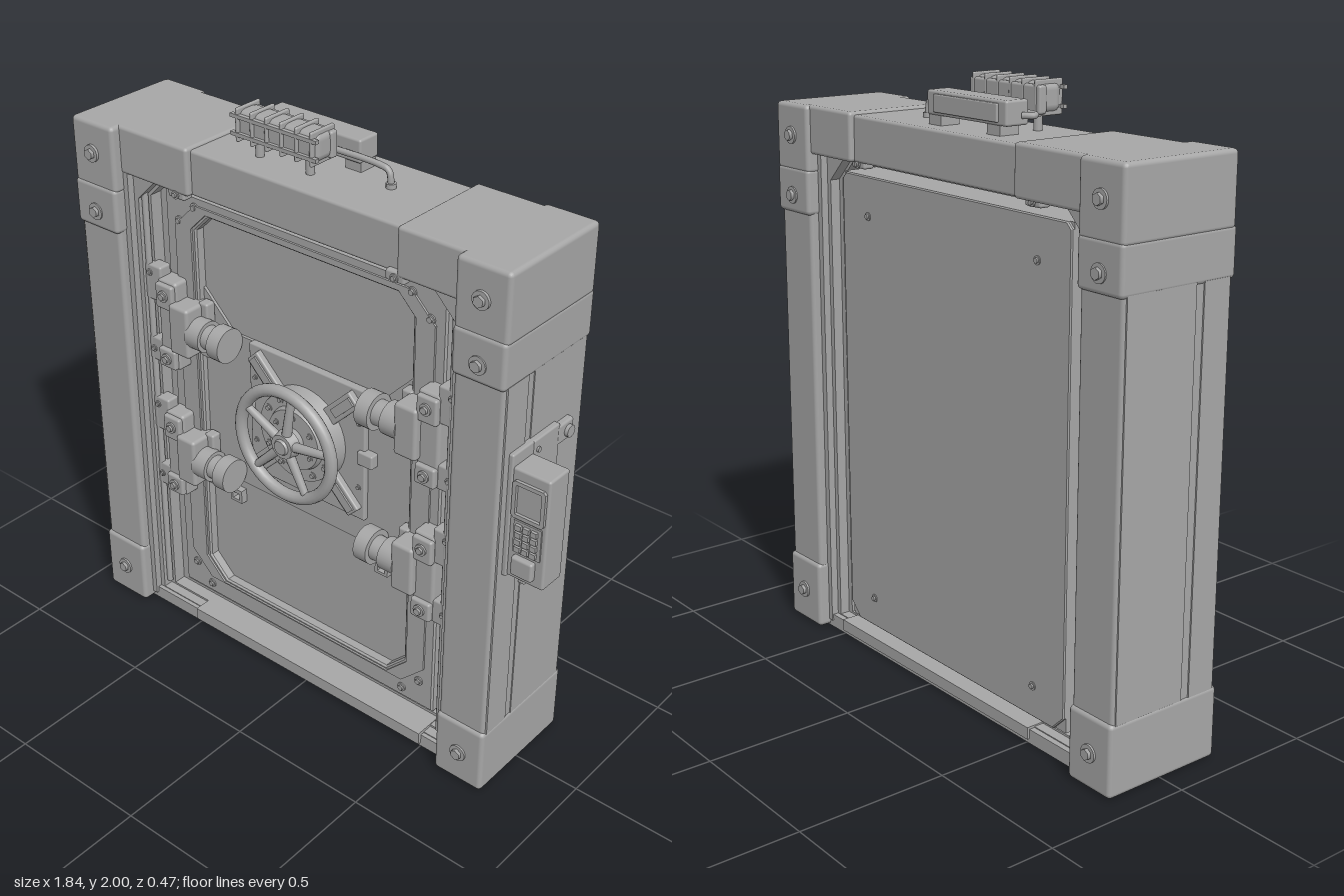
import * as THREE from 'three';
import { RoundedBoxGeometry } from 'three/addons/geometries/RoundedBoxGeometry.js';

const CX = -0.0725; // centre line of the frame

export function createModel() {
  const model = new THREE.Group();
  model.name = 'vaultDoor';
  const steel = new THREE.MeshStandardMaterial({ color: 0xa6a6a6 });
  steel.name = 'plain steel';

  const add = (name, geo, parent = model) => {
    const m = new THREE.Mesh(geo, steel);
    m.name = name;
    parent.add(m);
    return m;
  };
  // Box given by its limits; r > 0 rounds the edges
  const box = (name, x0, x1, y0, y1, z0, z1, r = 0, parent = model) => {
    const s = [x1 - x0, y1 - y0, z1 - z0];
    const geo = r ? new RoundedBoxGeometry(...s, 2, r) : new THREE.BoxGeometry(...s);
    const m = add(name, geo, parent);
    m.position.set((x0 + x1) / 2, (y0 + y1) / 2, (z0 + z1) / 2);
    return m;
  };
  // Cylinder along x, y or z
  const rod = (name, axis, x, y, z, r, len, sides = 24, parent = model, r2 = r) => {
    const geo = new THREE.CylinderGeometry(r2, r, len, sides);
    if (axis === 'z') geo.rotateX(Math.PI / 2);
    if (axis === 'x') geo.rotateZ(-Math.PI / 2);
    const m = add(name, geo, parent);
    m.position.set(x, y, z);
    return m;
  };
  // Rectangle outline with cut bottom and top corners
  const outline = (x0, x1, y0, y1, cb = 0, ct = cb) => [
    [x0 + cb, y0], [x1 - cb, y0], [x1, y0 + cb], [x1, y1 - ct],
    [x1 - ct, y1], [x0 + ct, y1], [x0, y1 - ct], [x0, y0 + cb],
  ].map(p => new THREE.Vector2(...p));
  const plate = (name, pts, z0, z1, hole, bevel = 0) => {
    const shape = new THREE.Shape(pts);
    if (hole) shape.holes.push(new THREE.Path(hole));
    const m = add(name, new THREE.ExtrudeGeometry(shape, {
      depth: z1 - z0 - bevel, bevelEnabled: bevel > 0, bevelSize: bevel,
      bevelOffset: -bevel, bevelThickness: bevel, bevelSegments: 1,
    }));
    m.position.z = z0;
    return m;
  };
  const bolt = (x, y, z, r, side = 1, parent = model) => {
    rod('boltWasher', 'z', x, y, z + side * r * 0.15, r, r * 0.3, 20, parent);
    rod('boltHead', 'z', x, y, z + side * r * 0.4, r * 0.62, r * 0.6, 6, parent);
  };
  const sides = [-1, 1];
  // Limits of a part measured from the centre line, on either side
  const span = (s, a, b) => (s < 0 ? [CX - b, CX - a] : [CX + a, CX + b]);

  // Outer frame: posts, corner blocks and beams
  for (const s of sides) {
    box('post', ...span(s, 0.667, 0.843), 0.2, 1.55, -0.205, 0.205, 0.015);
    box('postInnerStep', ...span(s, 0.645, 0.68), 0.03, 1.72, -0.175, 0.175);
    box('topCornerBlock', ...span(s, 0.664, 0.8475), 1.63, 1.855, -0.215, 0.212, 0.015);
    box('cornerStrap', ...span(s, 0.664, 0.8475), 1.49, 1.645, -0.217, 0.217, 0.015);
    box('topCornerSleeve', ...span(s, s < 0 ? 0.375 : 0.437, 0.7), 1.695, 1.855, -0.2, 0.178, 0.012);
    box('footBlock', ...span(s, 0.664, 0.8475), 0.008, 0.245, -0.215, 0.215, 0.015);
    for (const f of sides) {
      for (const y of [0.125, 1.55, 1.75]) bolt(CX + s * 0.757, y, f * 0.213, 0.029, f);
      // Small brackets under the top beam
      box('beamBracket', CX + s * 0.43 - 0.035, CX + s * 0.43 + 0.035, 1.675, 1.71, f * 0.155 - 0.02, f * 0.155 + 0.02, 0.008);
      bolt(CX + s * 0.43, 1.69, f * 0.175, 0.014, f);
    }
    // Seam strip up the outer face of the post
    box('postSideStrip', ...span(s, 0.835, 0.8475), 0.24, 1.5, 0.095, 0.195);
    box('postSidePanel', ...span(s, 0.835, 0.8465), 0.24, 1.5, -0.195, 0.065);
  }
  box('topBeam', -0.6, 0.5, 1.695, 1.845, -0.182, 0.157, 0.01);
  box('sill', -0.76, 0.61, 0.005, 0.052, -0.17, 0.165);
  box('sillLip', -0.51, 0.5, 0.02, 0.065, 0.08, 0.178);
  box('sillLipBack', -0.51, 0.5, 0.02, 0.06, -0.178, -0.08);

  // Stepped inner rings around the opening
  const rings = [
    [0.627, 0.055, 1.7, 0.15, 0.09],
    [0.607, 0.062, 1.685, 0.115, 0.07],
    [0.582, 0.072, 1.664, 0.07, 0],
  ];
  for (const [w, y0, y1, z, cut] of rings) {
    plate('innerRing', outline(CX - 0.68, CX + 0.68, 0.03, 1.72), -z, z,
      outline(CX - w, CX + w, y0, y1, 0, cut));
  }
  for (const s of sides) {
    rod('railPipe', 'y', CX + s * 0.618, 0.86, 0.13, 0.011, 1.56, 12);
  }

  // Door slab, raised border and inset panels
  box('doorSlab', -0.645, 0.482, 0.085, 1.65, -0.14, 0.05);
  plate('doorBorder', outline(-0.645, 0.482, 0.085, 1.65), 0.05, 0.085,
    outline(-0.515, 0.36, 0.175, 1.59, 0.075, 0.06), 0.006);
  plate('borderTrim', outline(-0.6, 0.445, 0.16, 1.62, 0.09), 0.08, 0.092,
    outline(-0.53, 0.375, 0.165, 1.6, 0.082, 0.066));
  plate('middlePanel', [[-0.515, 0.62], [0.36, 0.62], [0.36, 1.32], [0.24, 1.195], [-0.39, 1.195], [-0.515, 1.32]]
    .map(p => new THREE.Vector2(...p)), 0.05, 0.06);
  const back = plate('doorBackPlate', outline(-0.645, 0.482, 0.085, 1.65, 0.05, 0.02), 0, 0.012, null, 0.004);
  back.rotation.y = Math.PI;
  back.position.set(-0.163, 0, -0.139);
  for (const x of [-0.5, 0.34]) {
    for (const y of [0.19, 1.52]) bolt(x, y, -0.15, 0.014, -1);
  }
  for (const x of [-0.585, 0.425]) {
    for (const y of [0.13, 1.605]) {
      const dx = x < 0 ? 1 : -1, dy = y < 1 ? 1 : -1;
      bolt(x, y + dy * 0.06, 0.085, 0.016);
      bolt(x + dx * 0.07, y - dy * 0.005, 0.085, 0.016);
    }
  }
  for (const x of [-0.39, 0.25]) {
    plate('sightSquare', outline(x - 0.026, x + 0.026, 0.535, 0.585), 0.05, 0.075,
      outline(x - 0.015, x + 0.015, 0.545, 0.57));
  }

  // Centre plate with crossed arms, dial and handwheel
  const lock = new THREE.Group();
  lock.name = 'centreLock';
  lock.position.set(-0.063, 0.957, 0);
  model.add(lock);
  box('lockPlate', -0.242, 0.242, -0.242, 0.242, 0.05, 0.078, 0.006, lock);
  for (const s of sides) {
    box('lockTab', s * 0.25 - 0.03, s * 0.25 + 0.03, -0.025, 0.025, 0.05, 0.09, 0.006, lock);
    box('crossArm', -0.3, 0.3, -0.03, 0.03, 0.07, 0.1, 0.006, lock).rotation.z = s * Math.PI / 4;
    for (const t of sides) {
      bolt(s * 0.218, t * 0.12, 0.078, 0.01, 1, lock);
      box('armCap', -0.05, 0.05, -0.016, 0.016, 0.1, 0.108, 0, lock)
        .position.set(s * 0.17, t * 0.17, 0.102);
      lock.children[lock.children.length - 1].rotation.z = s * t * Math.PI / 4;
    }
  }
  rod('dialBase', 'z', 0, 0, 0.1, 0.165, 0.05, 40, lock, 0.155);
  rod('dialStep', 'z', 0, 0, 0.13, 0.115, 0.025, 36, lock, 0.105);
  rod('wheelShaft', 'z', 0, 0, 0.15, 0.045, 0.06, 24, lock);
  rod('wheelHub', 'z', 0, 0, 0.18, 0.05, 0.035, 24, lock, 0.042);
  rod('hubCap', 'z', 0, 0, 0.2, 0.03, 0.012, 20, lock, 0.024);
  for (let i = 0; i < 12; i++) {
    const a = i * Math.PI / 6;
    bolt(Math.cos(a) * 0.135, Math.sin(a) * 0.135, 0.124, 0.013, 1, lock);
    if (i % 2) bolt(Math.cos(a) * 0.082, Math.sin(a) * 0.082, 0.142, 0.011, 1, lock);
  }
  add('wheelRim', new THREE.TorusGeometry(0.19, 0.021, 12, 48), lock).position.z = 0.178;
  for (let i = 0; i < 5; i++) {
    const a = 1.42 + i * Math.PI * 0.4;
    rod('wheelSpoke', 'x', Math.cos(a) * 0.11, Math.sin(a) * 0.11, 0.178, 0.017, 0.15, 12, lock, 0.013).rotation.z = a;
  }

  // Four locking bolts, two on each side
  for (const s of sides) {
    for (const y of [1.185, 0.68]) {
      const g = new THREE.Group();
      g.name = 'lockingBolt';
      g.position.set(-0.066, y, 0);
      model.add(g);
      const part = (name, a, b, y0, y1, z0, z1, r = 0.008) =>
        box(name, s < 0 ? -b : a, s < 0 ? -a : b, y0, y1, z0, z1, r, g);
      part('boltArm', 0.495, 0.578, -0.165, 0.16, 0.06, 0.145, 0.012);
      part('boltHousing', 0.425, 0.51, -0.085, 0.095, 0.06, 0.17, 0.012);
      part('housingFoot', 0.4, 0.44, -0.1, 0.1, 0.06, 0.1);
      part('upperRailPlate', 0.565, 0.64, 0.065, 0.195, 0.09, 0.14);
      part('lowerRailPlate', 0.565, 0.64, -0.165, -0.075, 0.09, 0.14);
      part('upperClamp', 0.5, 0.575, 0.06, 0.15, 0.13, 0.16);
      part('lowerClamp', 0.5, 0.575, -0.16, -0.09, 0.13, 0.16);
      rod('boltShaft', 'x', s * 0.38, 0, 0.12, 0.042, 0.15, 24, g);
      rod('boltCollar', 'x', s * 0.308, 0, 0.12, 0.06, 0.05, 28, g);
      rod('boltSleeve', 'x', s * 0.405, 0, 0.12, 0.055, 0.06, 28, g);
      for (const v of [-0.125, 0.11]) bolt(s * 0.537, v, 0.16, 0.02, 1, g);
      for (const v of [-0.12, 0.165]) bolt(s * 0.615, v, 0.14, 0.012, 1, g);
    }
  }

  // Keypad box on the side
  box('keypadBackPlate', 0.76, 0.793, 0.76, 1.275, -0.06, 0.07, 0.006);
  box('keypadMount', 0.76, 0.79, 0.85, 1.275, 0.06, 0.17, 0.006);
  box('keypadBox', 0.785, 0.915, 0.855, 1.235, 0.068, 0.165, 0.008);
  plate('screenBezel', outline(0.795, 0.907, 1.075, 1.2, 0.008), 0.16, 0.175, outline(0.808, 0.894, 1.088, 1.187));
  box('keyPanel', 0.805, 0.9, 0.955, 1.065, 0.16, 0.17);
  for (let i = 0; i < 12; i++) {
    const x = 0.825 + (i % 3) * 0.027, y = 0.972 + Math.floor(i / 3) * 0.025;
    box('key', x - 0.01, x + 0.01, y - 0.009, y + 0.009, 0.168, 0.18);
  }
  box('cardReader', 0.81, 0.885, 0.88, 0.945, 0.16, 0.185, 0.008);
  box('sideLatch', 0.76, 0.795, 1.2, 1.265, -0.13, -0.05, 0.008);
  rod('sideLatchBolt', 'x', 0.8, 1.232, -0.1, 0.02, 0.014, 12);
  for (const [y, z] of [[0.8, 0.05], [1.05, 0.05], [1.05, -0.04], [1.24, 0.05]]) {
    rod('plateRivet', 'x', 0.795, y, z, 0.009, 0.008, 10);
  }

  // Warning lamp with cage on top
  const lampZ = 0.05;
  box('lampBody', -0.32, 0, 1.9, 1.992, lampZ - 0.043, lampZ + 0.043, 0.025);
  box('lampBack', -0.325, 0.005, 1.9, 1.985, 0, 0.03, 0.008);
  for (let i = 0; i < 6; i++) {
    const x = -0.305 + i * 0.058;
    box('cageRib', x - 0.006, x + 0.006, 1.893, 2, lampZ - 0.052, lampZ + 0.052, 0.005);
  }
  for (const y of [1.918, 1.975]) box('cageBar', -0.328, 0.008, y - 0.006, y + 0.006, 0.09, 0.104);
  for (const x of [-0.26, -0.06]) rod('lampLeg', 'y', x, 1.87, lampZ, 0.014, 0.07, 12);

  // Junction box and cable behind the lamp
  box('junctionBox', -0.325, 0.055, 1.875, 1.95, -0.125, -0.04, 0.008);
  box('junctionLid', -0.29, 0.015, 1.885, 1.94, -0.133, -0.12, 0.004);
  for (const x of [-0.26, 0.02]) box('junctionFoot', x - 0.03, x + 0.03, 1.84, 1.88, -0.12, -0.05);
  const path = [[-0.33, 1.905, -0.07], [-0.355, 1.905, -0.05], [-0.335, 1.905, -0.025], [-0.2, 1.905, -0.022],
    [0.14, 1.905, -0.025], [0.175, 1.895, -0.025], [0.183, 1.84, -0.025]].map(p => new THREE.Vector3(...p));
  add('cable', new THREE.TubeGeometry(new THREE.CatmullRomCurve3(path), 60, 0.01, 10));
  rod('cableSocket', 'y', 0.183, 1.85, -0.025, 0.016, 0.02, 12);

  return model;
}
